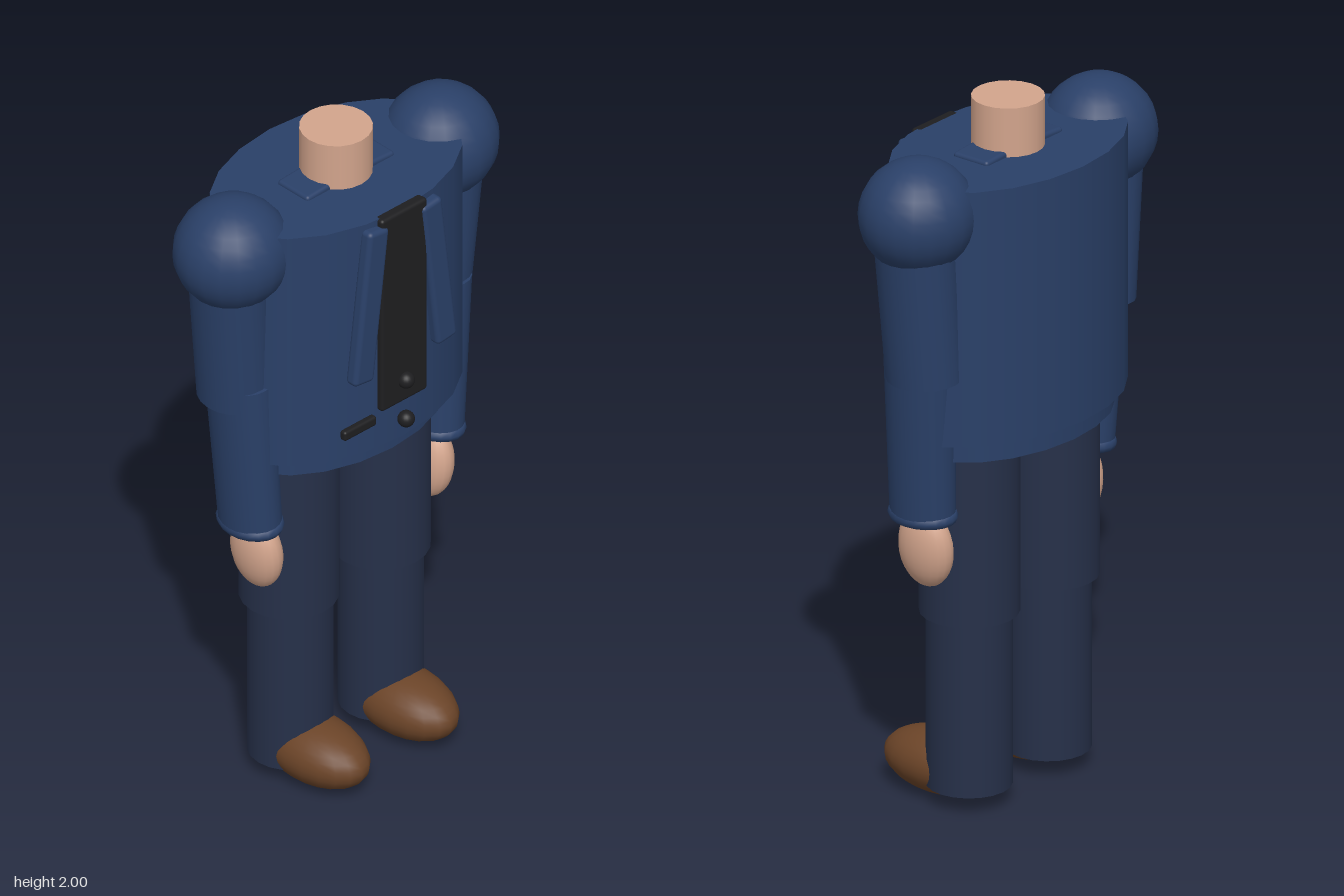
import * as THREE from 'three';
import { RoundedBoxGeometry } from 'three/addons/geometries/RoundedBoxGeometry.js';

const paint = (color) => new THREE.MeshStandardMaterial({ color });
const SIDES = 20;
const CX = -0.02; // body axis; the figure looks along +x

export function createModel() {
  const model = new THREE.Group();
  const jacket = paint(0x2a4068);
  const trousers = paint(0x263049);
  const skin = paint(0xd2a48c);
  const leather = paint(0x6b4428);
  const black = paint(0x1e1e20);

  const add = (name, geometry, material, x, y, z) => {
    const mesh = new THREE.Mesh(geometry, material);
    mesh.name = name;
    mesh.position.set(x, y, z);
    model.add(mesh);
    return mesh;
  };

  // Tapered tube between two points, flattened sideways by zScale
  const limb = (name, material, top, bottom, rTop, rBottom, zScale = 1) => {
    const a = new THREE.Vector3(...top);
    const b = new THREE.Vector3(...bottom);
    const dir = a.clone().sub(b);
    const geometry = new THREE.CylinderGeometry(rTop, rBottom, dir.length(), SIDES);
    const mid = a.clone().add(b).multiplyScalar(0.5);
    const mesh = add(name, geometry, material, mid.x, mid.y, mid.z);
    mesh.quaternion.setFromUnitVectors(new THREE.Vector3(0, 1, 0), dir.normalize());
    mesh.scale.z = zScale;
    return mesh;
  };

  const ellipsoid = (name, material, x, y, z, rx, ry, rz) => {
    const mesh = add(name, new THREE.SphereGeometry(1, SIDES, 16), material, x, y, z);
    mesh.scale.set(rx, ry, rz);
    return mesh;
  };

  const slab = (name, material, x, y, z, w, h, d, r = 0.01) =>
    add(name, new RoundedBoxGeometry(w, h, d, 3, r), material, x, y, z);

  // Jacket body, hem and neck
  limb('jacketBody', jacket, [CX, 1.858, 0], [CX, 1.115, 0], 0.26, 0.26, 1.54);
  limb('jacketHem', jacket, [-0.025, 1.2, 0], [-0.025, 1.055, 0], 0.225, 0.225, 1.58);
  limb('neck', skin, [CX, 2, 0], [CX, 1.8, 0], 0.1, 0.1);

  // Dark front strip, buttons and breast pocket
  slab('frontStrip', black, 0.232, 1.546, 0, 0.036, 0.625, 0.17);
  for (const y of [1.305, 1.178]) ellipsoid('button', black, 0.254, y, 0, 0.024, 0.024, 0.024);
  slab('pocketTrim', black, 0.257, 1.235, 0.18, 0.022, 0.03, 0.12, 0.008);

  for (const s of [1, -1]) {
    // Collar pad and lapel
    const collar = slab('collar', jacket, CX, 1.857, s * 0.11, 0.12, 0.03, 0.105);
    collar.rotation.x = s * 0.06;
    const lapel = slab('lapel', jacket, 0.236, 1.6, s * 0.126, 0.042, 0.48, 0.075, 0.014);
    lapel.rotation.x = -s * 0.12;

    // Arm
    ellipsoid('shoulder', jacket, CX, 1.775, s * 0.385, 0.16, 0.16, 0.165);
    limb('upperArm', jacket, [-0.02, 1.775, s * 0.405], [-0.03, 1.3, s * 0.367], 0.117, 0.11, 0.9);
    limb('forearm', jacket, [-0.012, 1.36, s * 0.368], [0, 0.88, s * 0.338], 0.105, 0.097, 0.8);
    const cuff = add('cuff', new THREE.TorusGeometry(0.086, 0.019, 8, SIDES), jacket, 0, 0.885, s * 0.338);
    cuff.rotation.x = Math.PI / 2 + s * 0.06;
    cuff.scale.y = 0.77;
    const hand = ellipsoid('hand', skin, 0.005, 0.778, s * 0.318, 0.086, 0.116, 0.056);
    hand.rotation.x = s * 0.08;

    // Leg and shoe
    limb('thigh', trousers, [-0.025, 1.12, s * 0.17], [-0.025, 0.555, s * 0.17], 0.137, 0.137);
    limb('shin', trousers, [-0.022, 0.6, s * 0.168], [-0.022, 0.05, s * 0.168], 0.118, 0.118);
    ellipsoid('shoe', leather, 0.07, 0.09, s * 0.165, 0.187, 0.09, 0.11);
  }

  return model;
}
